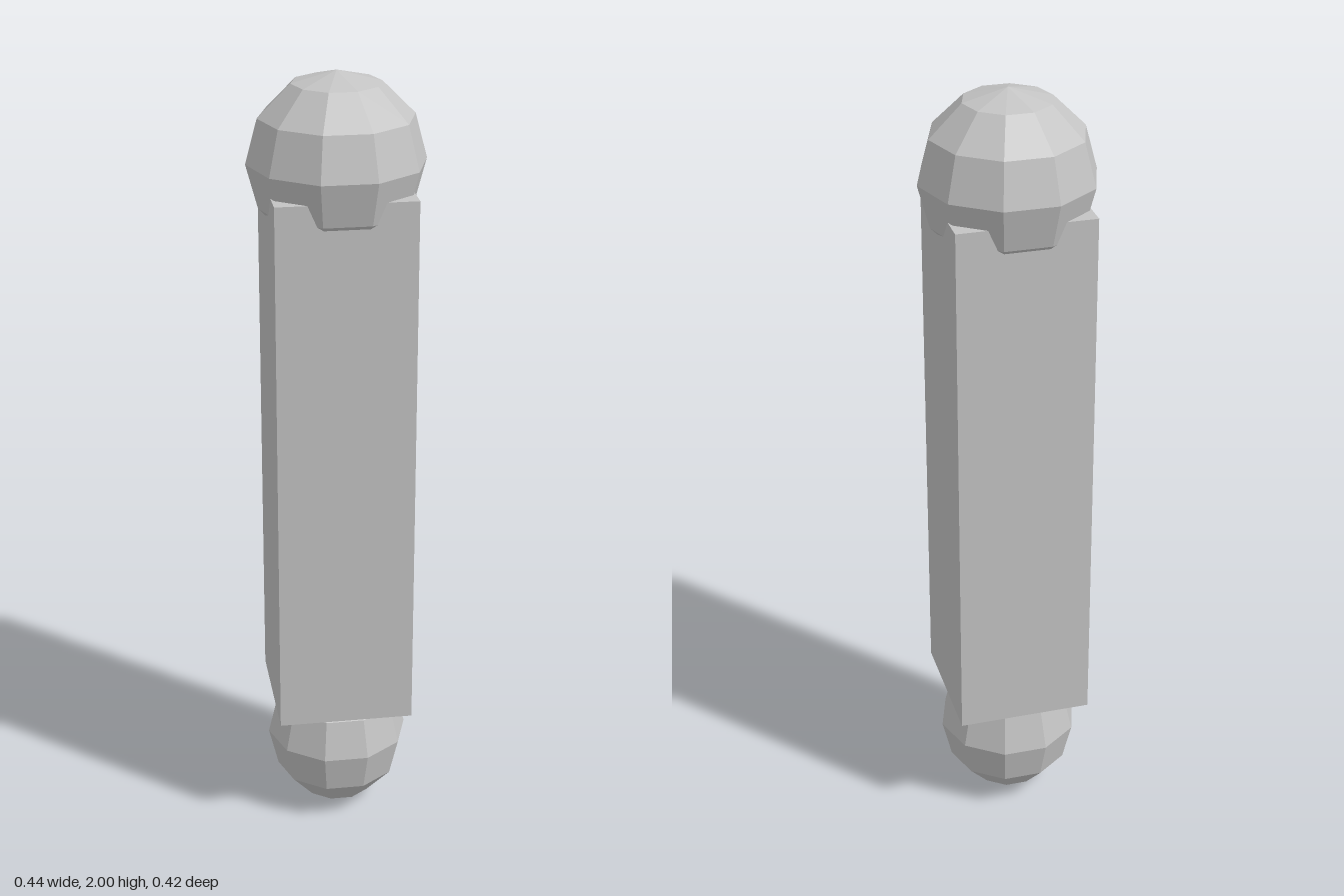
import * as THREE from 'three';

export function createModel() {
  const grey = new THREE.MeshStandardMaterial({ color: 0xc4c4c4, flatShading: true });
  grey.name = 'light grey';
  const model = new THREE.Group();
  model.name = 'baton';

  const add = (name, geometry, y) => {
    const mesh = new THREE.Mesh(geometry, grey);
    mesh.name = name;
    mesh.position.y = y;
    model.add(mesh);
  };

  // Square shaft
  add('shaft', new THREE.BoxGeometry(0.346, 1.4, 0.346), 1.022);

  // Faceted balls sunk into both ends; the lower one is slightly tall
  add('topBall', new THREE.SphereGeometry(0.221, 10, 6), 1.779);
  add('bottomBall', new THREE.SphereGeometry(0.185, 10, 6).scale(1, 0.204 / 0.185, 1), 0.204);

  return model;
}
